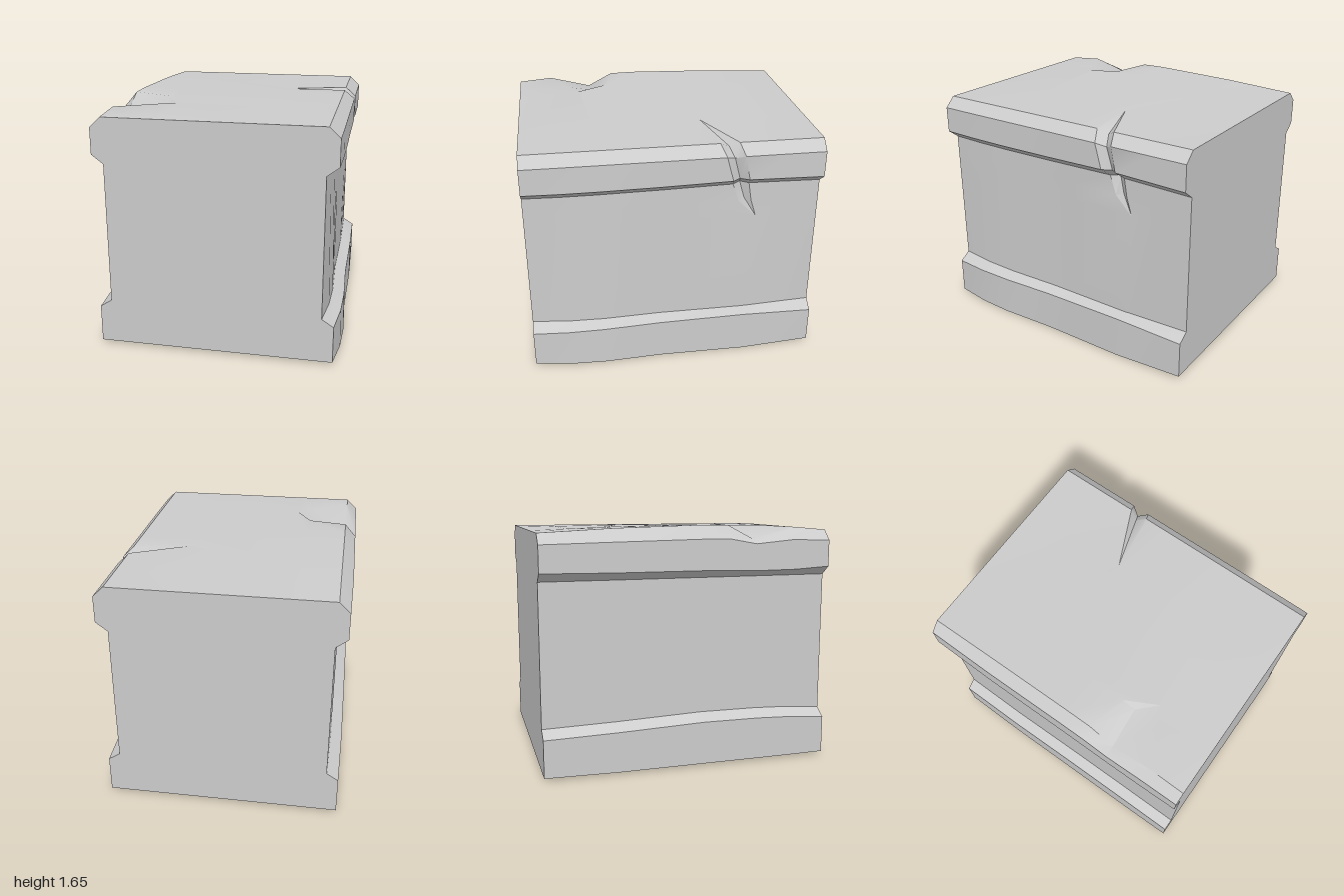
import * as THREE from 'three';
import { toCreasedNormals } from 'three/addons/utils/BufferGeometryUtils.js';

// half profile from the base up: half width, height
const HALF = [
  [0.803, 0.02], [0.803, 0.278], [0.723, 0.33], [0.723, 1.06], [0.723, 1.18],
  [0.723, 1.3], [0.803, 1.36], [0.803, 1.54], [0.73, 1.61],
];
const MIDDLE = -0.017;
const TOP_X = [0.3, -0.37, -0.48];

// crack from its tip on the +x wall to its tip on the top: z, half width, depth
const CRACK_START = 3;
const CRACK = [
  [-0.565, 0.003, 0], [-0.485, 0.043, 0.03], [-0.452, 0.055, 0.04], [-0.435, 0.055, 0.05],
  [-0.395, 0.062, 0.05], [-0.365, 0.065, 0.05], [-0.24, 0.003, 0],
];
const CRACK_HEART = new THREE.Vector2(0.4, 1.3);

// chip in the -x top edge: front z, deepest z, back z, depth
const CHIP_START = 10;
const CHIP = [
  [0.57, 0.56, 0.55, 0], [0.63, 0.44, 0.35, 0.035], [0.76, 0.46, 0.28, 0.09], [0.73, 0.46, 0.28, 0.03],
];

// whole profile, anticlockwise seen from the front
function profile() {
  const right = HALF.map(([w, y]) => new THREE.Vector2(MIDDLE + w, y));
  const top = TOP_X.map((x) => new THREE.Vector2(x, 1.61));
  const left = HALF.map(([w, y]) => new THREE.Vector2(MIDDLE - w, y)).reverse();
  return [...right, ...top, ...left];
}

// piecewise linear swelling along z, zero at both ends
function swell(z, a, b, c) {
  const stations = [1, 0.65, 0.1, -0.5, -1];
  const values = [0, a, b, c, 0];
  const i = Math.min(3, Math.max(0, stations.findIndex((s) => z > s) - 1));
  const k = z > stations[4] ? i : 3;
  return THREE.MathUtils.mapLinear(z, stations[k], stations[k + 1], values[k], values[k + 1]);
}

// uneven wear of a profile point at depth z
function worn({ x, y }, z) {
  let dx = 0, dy = 0;
  const early = swell(z, 1, 0.35, 0.3);
  const late = swell(z, 0.5, 0.7, 1);
  if (x > 0) dx = 0.046 * early * (1 - y / 1.61);
  else if (y < 1.6) dx = -0.007 * late;
  if (y > 1.6) dy = 0.04 * swell(z, 0.75, 1, 0.62) * (0.713 - x) / 1.46;
  else if (y < 0.1) dy = (x > 0 ? -0.02 : -0.005) * late;
  else if (y < 0.4) dy = x < 0 ? 0.035 * swell(z, 0.9, 1, 0.4) : (y < 0.3 ? 0.018 : -0.013) * late;
  else if (x < 0 && y > 1.5) dy = 0.02 * swell(z, 0.5, 1, 0.5);
  else if (x < 0 && y > 1.35) dy = -0.02 * early;
  else if (x > 0 && y > 1.25 && y < 1.4) dy = 0.012 * swell(z, -0.3, 0, 1);
  return [x + dx, y + dy, z];
}

// points of one profile row from front to back, bent to follow chip and crack
function rowPoints(p, i) {
  const [cz, cw, crackDepth] = CRACK[i - CRACK_START] ?? [-0.5, 0.05, 0];
  const [front, mid, back, chipDepth] = CHIP[i - CHIP_START] ?? [0.75, 0.5, 0.3, 0];
  const points = [1, front, mid, back, 0.1, -0.1, cz + cw, cz, cz - cw, -0.75, -1].map((z) => worn(p, z));
  const inward = CRACK_HEART.clone().sub(p).setLength(crackDepth);
  points[2][1] -= chipDepth;
  points[7][0] += inward.x;
  points[7][1] += inward.y;
  return points;
}

function blockGeometry() {
  const outline = profile();
  const grid = outline.map(rowPoints);
  const last = grid[0].length - 1;
  const pos = [];
  const tri = (a, b, c) => pos.push(...a, ...b, ...c);

  // skin around the profile
  grid.forEach((p, i) => {
    const q = grid[(i + 1) % grid.length];
    for (let j = 0; j < last; j++) {
      tri(p[j], p[j + 1], q[j + 1]);
      tri(p[j], q[j + 1], q[j]);
    }
  });

  // flat front and back ends
  for (const [a, b, c] of THREE.ShapeUtils.triangulateShape(outline, [])) {
    tri(grid[a][0], grid[b][0], grid[c][0]);
    tri(grid[a][last], grid[c][last], grid[b][last]);
  }

  const geometry = new THREE.BufferGeometry();
  geometry.setAttribute('position', new THREE.Float32BufferAttribute(pos, 3));
  return toCreasedNormals(geometry, 0.6);
}

export function createModel() {
  const group = new THREE.Group();
  group.name = 'stoneWallBlock';
  const block = new THREE.Mesh(
    blockGeometry(),
    new THREE.MeshStandardMaterial({ color: 0xcccccc }),
  );
  block.name = 'wornStoneBlock';
  group.add(block);
  return group;
}
